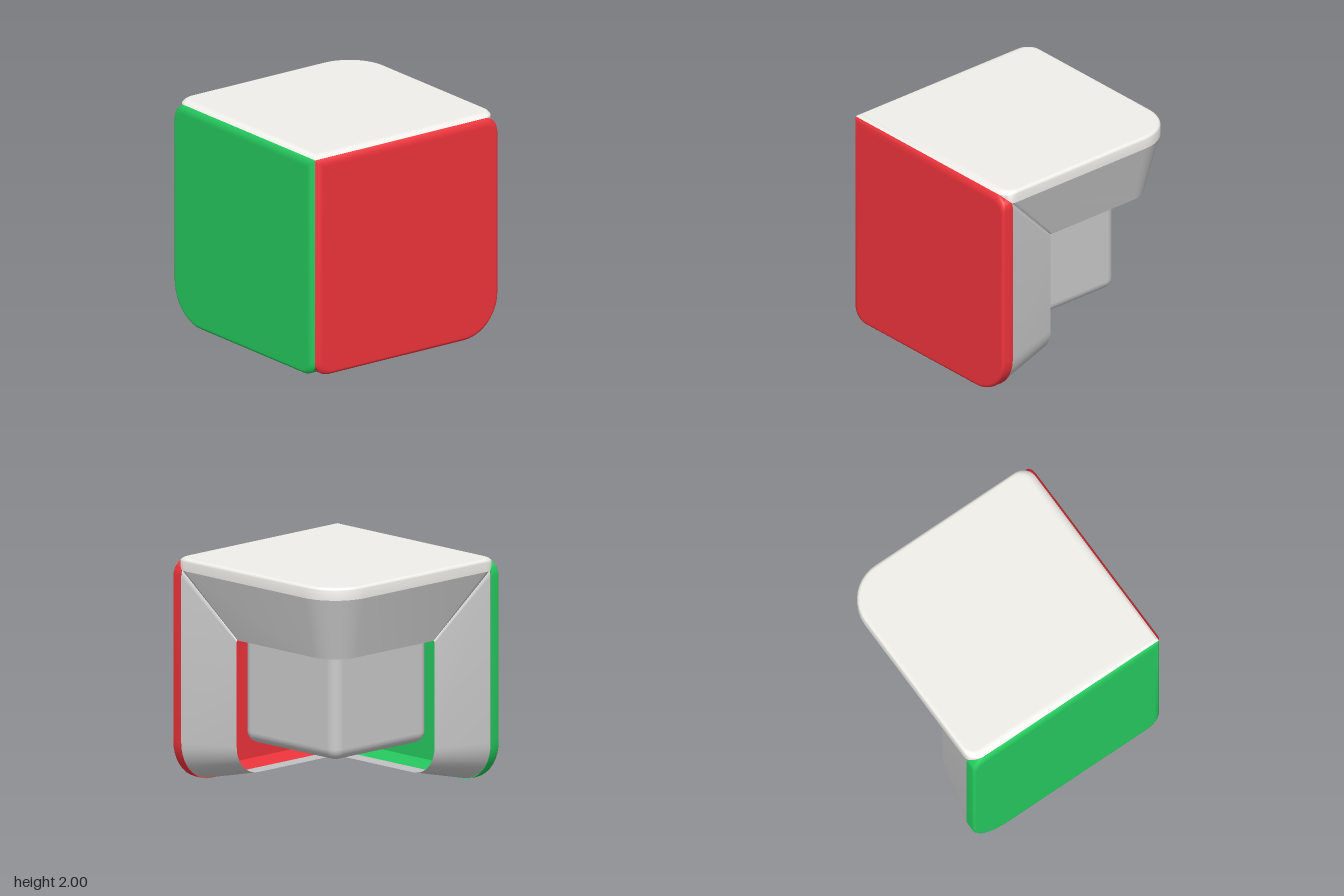
import * as THREE from 'three';
import { toCreasedNormals } from 'three/addons/utils/BufferGeometryUtils.js';
import { RoundedBoxGeometry } from 'three/addons/geometries/RoundedBoxGeometry.js';

const ARC = 10; // segments per rounded corner

// Square outline: near edges at +n, free edges at -f, one large and two small round corners
function ring({ w, n, f, big, small }) {
  const corners = [
    [n, n, 0.006], [-f, n, small], [-f, -f, big], [n, -f, small],
  ];
  const points = [];
  corners.forEach(([x, y, r], k) => {
    const cx = x - Math.sign(x) * r, cy = y - Math.sign(y) * r;
    for (let i = 0; i <= ARC; i++) {
      const a = (k + i / ARC) * Math.PI / 2;
      points.push([cx + r * Math.cos(a), cy + r * Math.sin(a), w]);
    }
  });
  return points;
}

// Skin a list of sections running from the outer face inwards
function loft(sections, capped) {
  const rings = sections.map(ring), count = rings[0].length;
  const pos = [], index = [];
  rings.forEach(r => r.forEach(p => pos.push(...p)));
  for (let s = 0; s < rings.length - 1; s++) {
    for (let i = 0; i < count; i++) {
      const j = (i + 1) % count, a = s * count, b = a + count;
      index.push(a + i, b + i, b + j, a + i, b + j, a + j);
    }
  }
  if (capped) {
    const top = pos.length / 3, last = (rings.length - 1) * count;
    pos.push(0, 0, sections[0].w, 0, 0, sections[sections.length - 1].w);
    for (let i = 0; i < count; i++) {
      const j = (i + 1) % count;
      index.push(top, i, j, top + 1, last + j, last + i);
    }
  }
  const g = new THREE.BufferGeometry();
  g.setAttribute('position', new THREE.Float32BufferAttribute(pos, 3));
  g.setIndex(index);
  return toCreasedNormals(g.toNonIndexed(), 0.6);
}

// Coloured plate: rounded outer edges, upright sides and a shallow recess behind
function plateGeometry() {
  const sections = [{ w: 1, n: 0.885, f: 0.955, big: 0.325, small: 0.085 }];
  for (let i = 0; i <= 8; i++) {
    const w = 0.9 + 0.1 * Math.cos(i / 8 * Math.PI / 4);
    const n = 0.9 + 0.1 * Math.sin(i / 8 * Math.PI / 4);
    const t = Math.max(0, (w - 0.97) / 0.03);
    const f = 0.97 + 0.03 * Math.sqrt(Math.max(0, 1 - t * t));
    sections.push({ w, n, f, big: f - 0.63, small: f - 0.87 });
  }
  sections.push({ w: 0.89, n: 0.97, f: 1, big: 0.37, small: 0.13 });
  sections.push({ w: 0.95, n: 0.89, f: 0.92, big: 0.29, small: 0.06 });
  return loft(sections, true);
}

// Hollow skirt tapering inwards behind each plate
function skirtGeometry() {
  return loft([
    { w: 0.89, n: 0.965, f: 0.995, big: 0.365, small: 0.13 },
    { w: 0.34, n: 0.34, f: 0.865, big: 0.26, small: 0.02 },
  ], false);
}

export function createModel() {
  const model = new THREE.Group();
  const body = new THREE.Group();
  body.name = 'cornerPiece';
  body.position.y = 1;
  model.add(body);

  const grey = new THREE.MeshStandardMaterial({ color: 0xcccccc });
  const greyThin = new THREE.MeshStandardMaterial({ color: 0xcccccc, side: THREE.DoubleSide });
  const plate = plateGeometry(), skirt = skirtGeometry();
  const axis = new THREE.Vector3(1, 1, 1).normalize();

  // Three identical sides, turned about the cube diagonal
  [['front', 0x26cb5f], ['left', 0xf0343c], ['top', 0xf0efea]].forEach(([name, color], k) => {
    const side = new THREE.Group();
    side.name = name + 'Side';
    side.quaternion.setFromAxisAngle(axis, k * 2 * Math.PI / 3);
    const face = new THREE.Mesh(plate, new THREE.MeshStandardMaterial({ color }));
    face.name = name + 'Plate';
    const wall = new THREE.Mesh(skirt, greyThin);
    wall.name = name + 'Skirt';
    side.add(face, wall);
    body.add(side);
  });

  // Inner block
  const core = new THREE.Mesh(new RoundedBoxGeometry(1.135, 1.135, 1.135, 5, 0.1), grey);
  core.name = 'innerBlock';
  core.position.setScalar(-0.055);
  body.add(core);

  return model;
}
